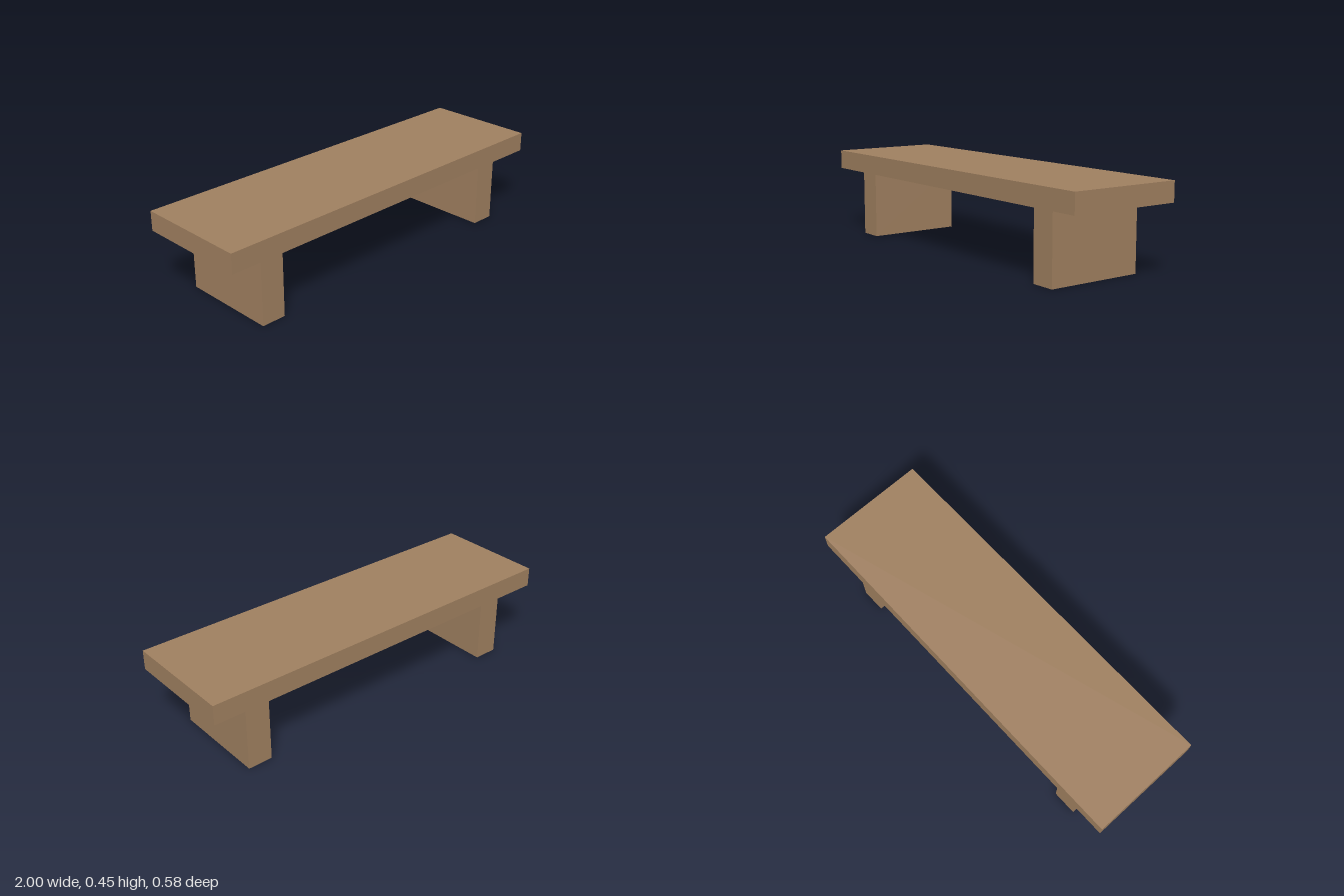
import * as THREE from 'three';

const LEG_HEIGHT = 0.352;
const SEAT_THICKNESS = 0.1;

export function createModel() {
  const bench = new THREE.Group();
  bench.name = 'bench';

  const wood = new THREE.MeshStandardMaterial({ color: 0xa08060 });
  wood.name = 'wood';

  // Box standing on the given base height
  const addBlock = (name, width, height, depth, x, baseY) => {
    const mesh = new THREE.Mesh(new THREE.BoxGeometry(width, height, depth), wood);
    mesh.name = name;
    mesh.position.set(x, baseY + height / 2, 0);
    bench.add(mesh);
  };

  // Seat plank
  addBlock('seat', 2, SEAT_THICKNESS, 0.584, 0, LEG_HEIGHT);

  // Slab legs, mirrored left and right
  for (const [name, side] of [['leftLeg', 1], ['rightLeg', -1]]) {
    addBlock(name, 0.127, LEG_HEIGHT, 0.502, side * 0.75, 0);
  }

  return bench;
}
